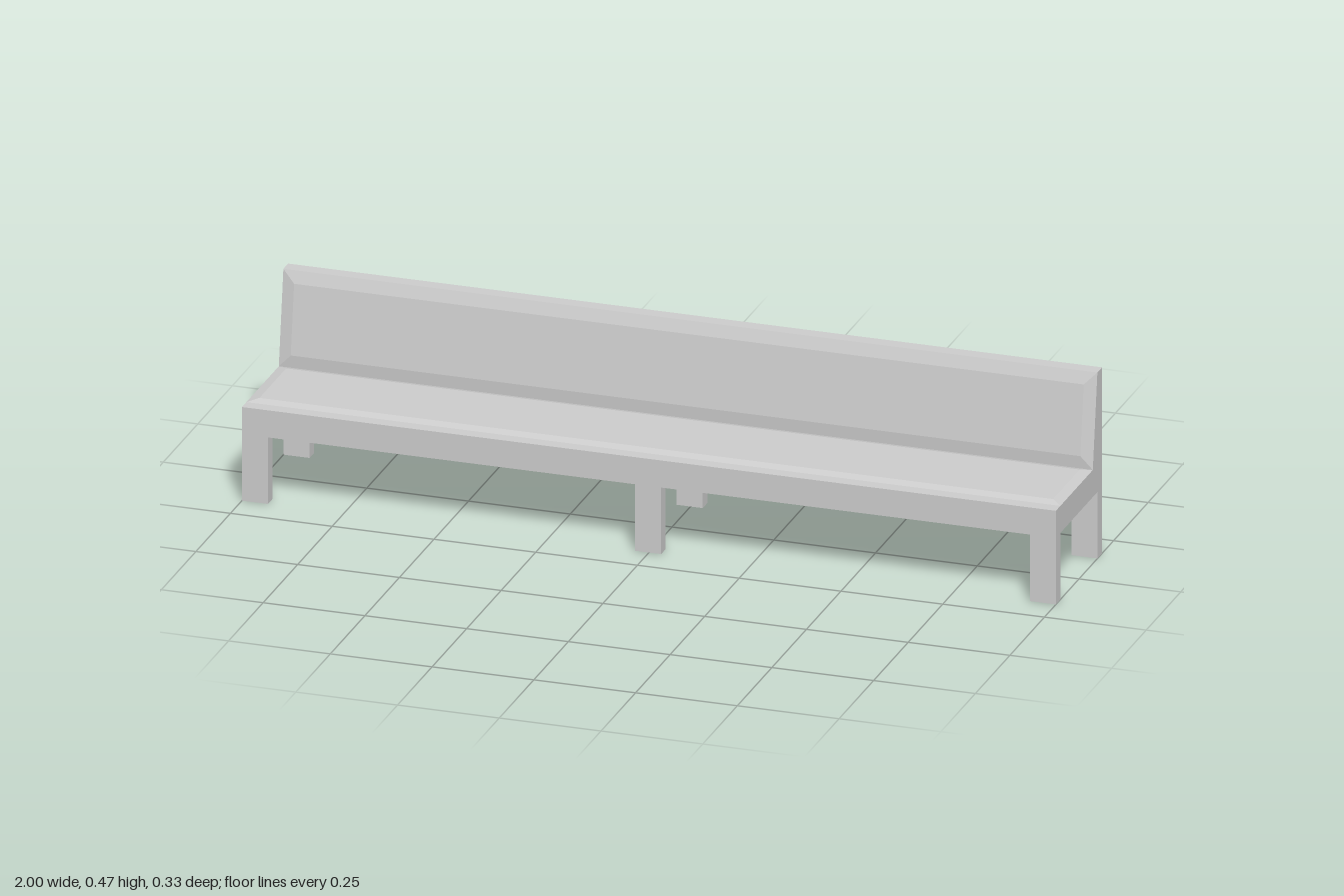
import * as THREE from 'three';

const material = new THREE.MeshStandardMaterial({ color: 0xcccccc, flatShading: true });

function addMesh(parent, name, geometry) {
  const mesh = new THREE.Mesh(geometry, material);
  mesh.name = name;
  parent.add(mesh);
  return mesh;
}

// Thin pad lying on y = 0 whose upper face is inset to give bevelled edges
function padGeometry(length, depth, height, insetX, insetZ) {
  const geometry = new THREE.BoxGeometry(length, height, depth);
  geometry.translate(0, height / 2, 0);
  const p = geometry.attributes.position;
  for (let i = 0; i < p.count; i++) {
    if (p.getY(i) > height / 2) {
      p.setX(i, p.getX(i) - Math.sign(p.getX(i)) * insetX);
      p.setZ(i, p.getZ(i) - Math.sign(p.getZ(i)) * insetZ);
    }
  }
  geometry.computeVertexNormals();
  return geometry;
}

export function createModel() {
  const bench = new THREE.Group();
  bench.name = 'bench';

  // Seat and sloping backrest: one L-shaped side profile (z, y) run along x
  const profile = [
    [0.167, 0.167], [0.167, 0.235], [-0.1, 0.235],
    [-0.133, 0.467], [-0.167, 0.467], [-0.167, 0.167],
  ];
  const shape = new THREE.Shape(profile.map(([z, y]) => new THREE.Vector2(-z, y)));
  const bodyGeometry = new THREE.ExtrudeGeometry(shape, { depth: 2, bevelEnabled: false });
  bodyGeometry.translate(0, 0, -1);
  bodyGeometry.rotateY(Math.PI / 2);
  addMesh(bench, 'seatAndBackFrame', bodyGeometry);

  // Seat pad
  const seatPad = addMesh(bench, 'seatPad', padGeometry(2, 0.235, 0.006, 0.025, 0.021));
  seatPad.position.set(0, 0.235, 0.0175);

  // Back pad, tilted to follow the backrest
  const rise = 0.232, run = 0.033;
  const backPad = addMesh(bench, 'backPad', padGeometry(2, Math.hypot(rise, run), 0.0065, 0.03, 0.031));
  backPad.position.set(0, 0.235 + rise / 2, -0.1 - run / 2);
  backPad.rotation.x = Math.atan2(rise, run);

  // Three pairs of square-cut legs
  const legWidth = 0.064, legDepth = 0.033, legHeight = 0.167;
  for (const [side, x] of [['right', -0.968], ['middle', -0.002], ['left', 0.968]]) {
    for (const [end, z] of [['Front', 0.1505], ['Back', -0.1505]]) {
      const leg = addMesh(bench, `${side}${end}Leg`, new THREE.BoxGeometry(legWidth, legHeight, legDepth));
      leg.position.set(x, legHeight / 2, z);
    }
  }

  return bench;
}
